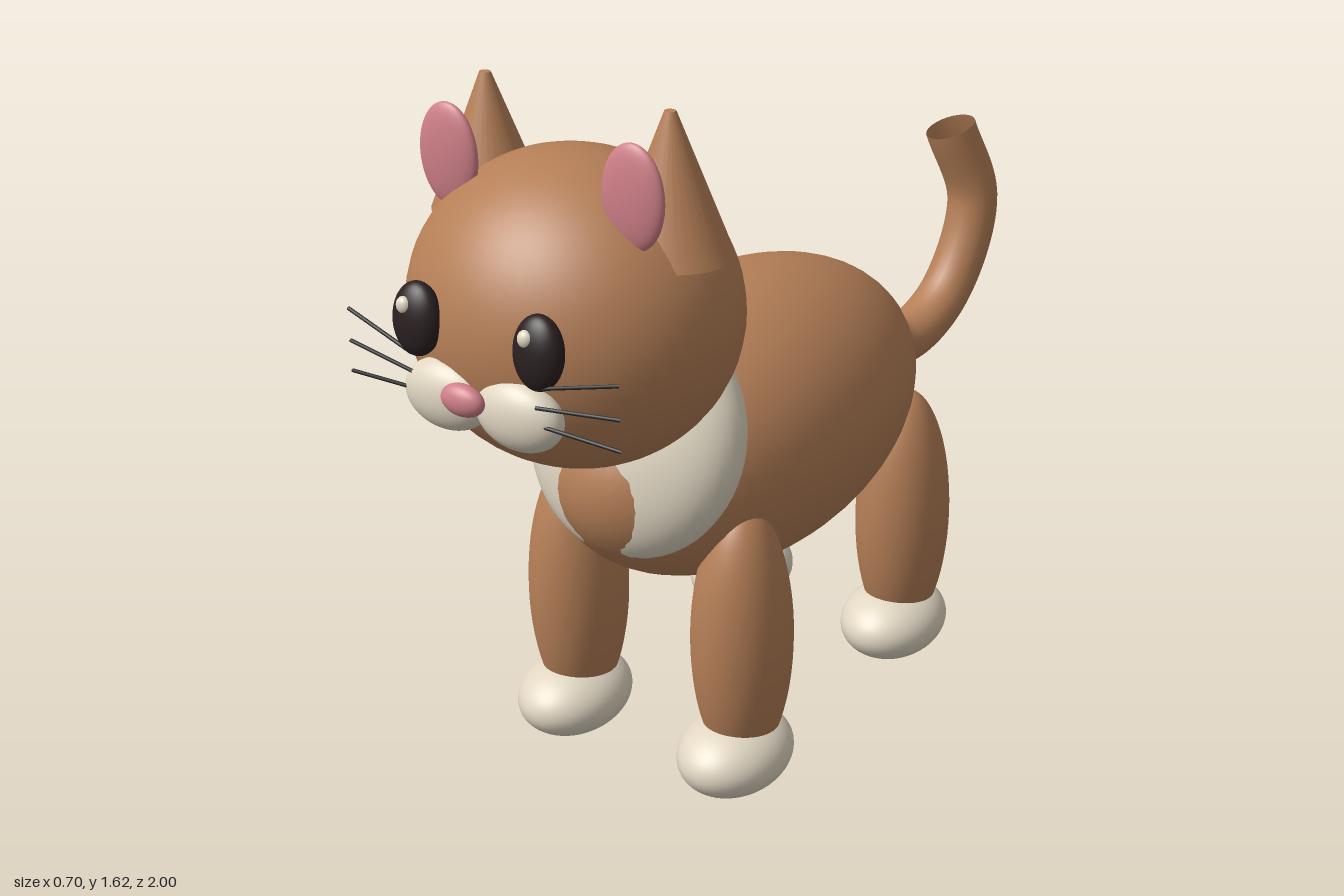
import * as THREE from 'three';

const flat = (name, color) => {
  const m = new THREE.MeshStandardMaterial({ color });
  m.name = name;
  return m;
};

export function createModel() {
  const fur = flat('brown fur', 0xb57f57);
  const cream = flat('cream fur', 0xe0d6c2);
  const pink = flat('pink', 0xd08089);
  const dark = flat('dark eye', 0x2a1f20);
  const whiskerGrey = flat('whisker black', 0x262626);
  fur.side = THREE.DoubleSide; // the tail tip is open

  const cat = new THREE.Group();
  cat.name = 'cat';

  const add = (name, geometry, material, pos = [0, 0, 0]) => {
    const mesh = new THREE.Mesh(geometry, material);
    mesh.name = name;
    mesh.position.set(...pos);
    cat.add(mesh);
    return mesh;
  };
  const ellipsoid = (name, material, pos, radii) =>
    add(name, new THREE.SphereGeometry(1, 48, 32).scale(...radii), material, pos);

  // Body, chest patch and head
  ellipsoid('body', fur, [0, 0.725, 0.035], [0.325, 0.325, 0.568]);
  ellipsoid('chestPatch', cream, [0, 0.823, 0.425], [0.26, 0.27, 0.141]).rotation.x = -0.35;
  ellipsoid('head', fur, [0, 1.185, 0.62], [0.349, 0.325, 0.32]);
  ellipsoid('nose', pink, [0, 1.115, 0.975], [0.05, 0.033, 0.025]);

  // Whiskers: outer and inner heights
  const whiskers = [[1.207, 1.164], [1.138, 1.125], [1.073, 1.09]];

  for (const [side, s] of [['left', 1], ['right', -1]]) {
    // Ears
    add(`${side}Ear`, new THREE.CylinderGeometry(0.012, 0.126, 0.285, 32).scale(1, 1, 0.9),
      fur, [s * 0.223, 1.482, 0.6]);
    ellipsoid(`${side}InnerEar`, pink, [s * 0.222, 1.488, 0.721], [0.071, 0.107, 0.023]);

    // Eyes, with both glints on the same side
    ellipsoid(`${side}Eye`, dark, [s * 0.147, 1.23, 0.924], [0.056, 0.075, 0.034]).rotation.x = -0.12;
    ellipsoid(`${side}EyeGlint`, cream, [s * 0.147 - 0.013, 1.262, 0.945], [0.017, 0.018, 0.014]);

    // Muzzle
    ellipsoid(`${side}Muzzle`, cream, [s * 0.088, 1.083, 0.915], [0.1, 0.073, 0.05]);

    // Whiskers
    whiskers.forEach(([outerY, innerY], i) => {
      const path = new THREE.LineCurve3(
        new THREE.Vector3(s * 0.15, innerY, 0.943),
        new THREE.Vector3(s * 0.33, outerY, 0.92));
      add(`${side}Whisker${i + 1}`, new THREE.TubeGeometry(path, 1, 0.004, 8), whiskerGrey);
    });

    // Legs and paws
    for (const [end, legZ, pawZ] of [['Front', 0.358, 0.385], ['Back', -0.335, -0.307]]) {
      ellipsoid(`${side}${end}Leg`, fur, [s * 0.222, 0.362, legZ], [0.109, 0.322, 0.121]);
      ellipsoid(`${side}${end}Paw`, cream, [s * 0.222, 0.088, pawZ], [0.12, 0.088, 0.15]);
    }
  }

  // Tail curling up behind
  const tailPath = new THREE.CatmullRomCurve3([
    [0, 0.73, -0.47], [0.02, 0.645, -0.66], [0.045, 0.72, -0.835],
    [0.062, 0.945, -0.932], [0.018, 1.138, -0.884],
  ].map((p) => new THREE.Vector3(...p)));
  add('tail', new THREE.TubeGeometry(tailPath, 48, 0.063, 24), fur);

  return cat;
}
